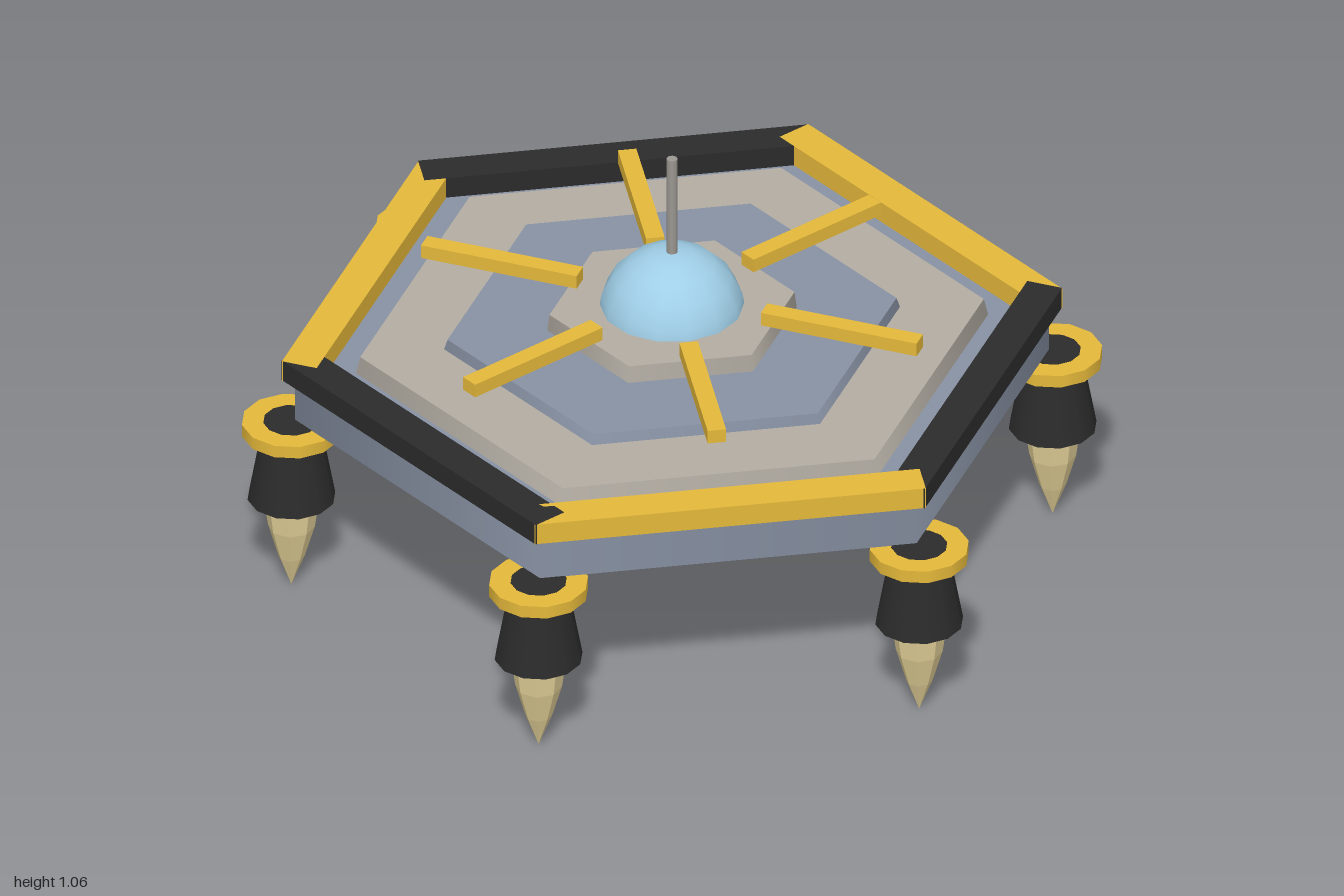
import * as THREE from 'three';

const mat = (name, color, flat = false) => {
  const m = new THREE.MeshStandardMaterial({ color, flatShading: flat });
  m.name = name;
  return m;
};

export function createModel() {
  const model = new THREE.Group();
  model.name = 'hexagonalPlatform';

  const steel = mat('blueGreySteel', 0x8892a4);
  const stone = mat('warmGrey', 0xb3ada3);
  const yellow = mat('hazardYellow', 0xe4b83a);
  const black = mat('charcoal', 0x2b2b2b);
  const glass = mat('paleBlueGlass', 0xa0cfe8);
  const metal = mat('mastGrey', 0x9c9893);
  const bone = mat('spikeTan', 0xe2d097, true);

  const add = (parent, name, geometry, material, x = 0, y = 0, z = 0) => {
    const mesh = new THREE.Mesh(geometry, material);
    mesh.name = name;
    mesh.position.set(x, y, z);
    parent.add(mesh);
    return mesh;
  };

  // Hexagonal slab with corners on the x axis, from y0 to y1
  const slab = (name, rTop, rBottom, y0, y1, material) =>
    add(model, name, new THREE.CylinderGeometry(rTop, rBottom, y1 - y0, 6).rotateY(Math.PI / 6),
      material, 0, (y0 + y1) / 2, 0);

  // Stepped deck
  slab('hull', 0.876, 0.876, 0.445, 0.557, steel);
  slab('outerDeck', 0.725, 0.735, 0.557, 0.6, stone);
  slab('middleDeck', 0.522, 0.53, 0.6, 0.625, steel);
  slab('innerDeck', 0.285, 0.29, 0.625, 0.667, stone);

  // Rim beams in alternating colours, and floating spokes above the deck
  for (let i = 0; i < 6; i++) {
    const sector = new THREE.Group();
    sector.name = 'sector' + (i + 1);
    sector.rotation.y = i * Math.PI / 3;
    model.add(sector);
    add(sector, 'rimBeam', new THREE.BoxGeometry(0.91, 0.053, 0.085),
      i % 2 === 0 ? black : yellow, 0, 0.583, 0.7425);
    add(sector, 'spoke', new THREE.BoxGeometry(0.043, 0.034, 0.38), yellow, 0, 0.687, 0.415);
  }

  // Dome and mast
  add(model, 'dome', new THREE.SphereGeometry(0.17, 14, 5, 0, Math.PI * 2, 0, Math.PI / 2),
    glass, 0, 0.64, 0);
  add(model, 'mast', new THREE.CylinderGeometry(0.013, 0.013, 0.3, 8), metal, 0, 0.911, 0);

  // Thruster leg under each corner: collar, flared housing, pointed spike
  const spikeProfile = [[0, 0], [0.031, 0.08], [0.054, 0.16], [0.065, 0.24], [0, 0.24]]
    .map(([r, y]) => new THREE.Vector2(r, y));
  const collar = new THREE.CylinderGeometry(0.115, 0.115, 0.031, 12);
  const housing = new THREE.CylinderGeometry(0.065, 0.102, 0.206, 12);
  const spike = new THREE.LatheGeometry(spikeProfile, 8);
  for (let i = 0; i < 6; i++) {
    const a = i * Math.PI / 3;
    const leg = new THREE.Group();
    leg.name = 'leg' + (i + 1);
    leg.position.set(0.885 * Math.cos(a), 0, 0.885 * Math.sin(a));
    model.add(leg);
    add(leg, 'collar', collar, yellow, 0, 0.4295, 0);
    add(leg, 'housing', housing, black, 0, 0.343, 0);
    add(leg, 'spike', spike, bone);
  }

  return model;
}
